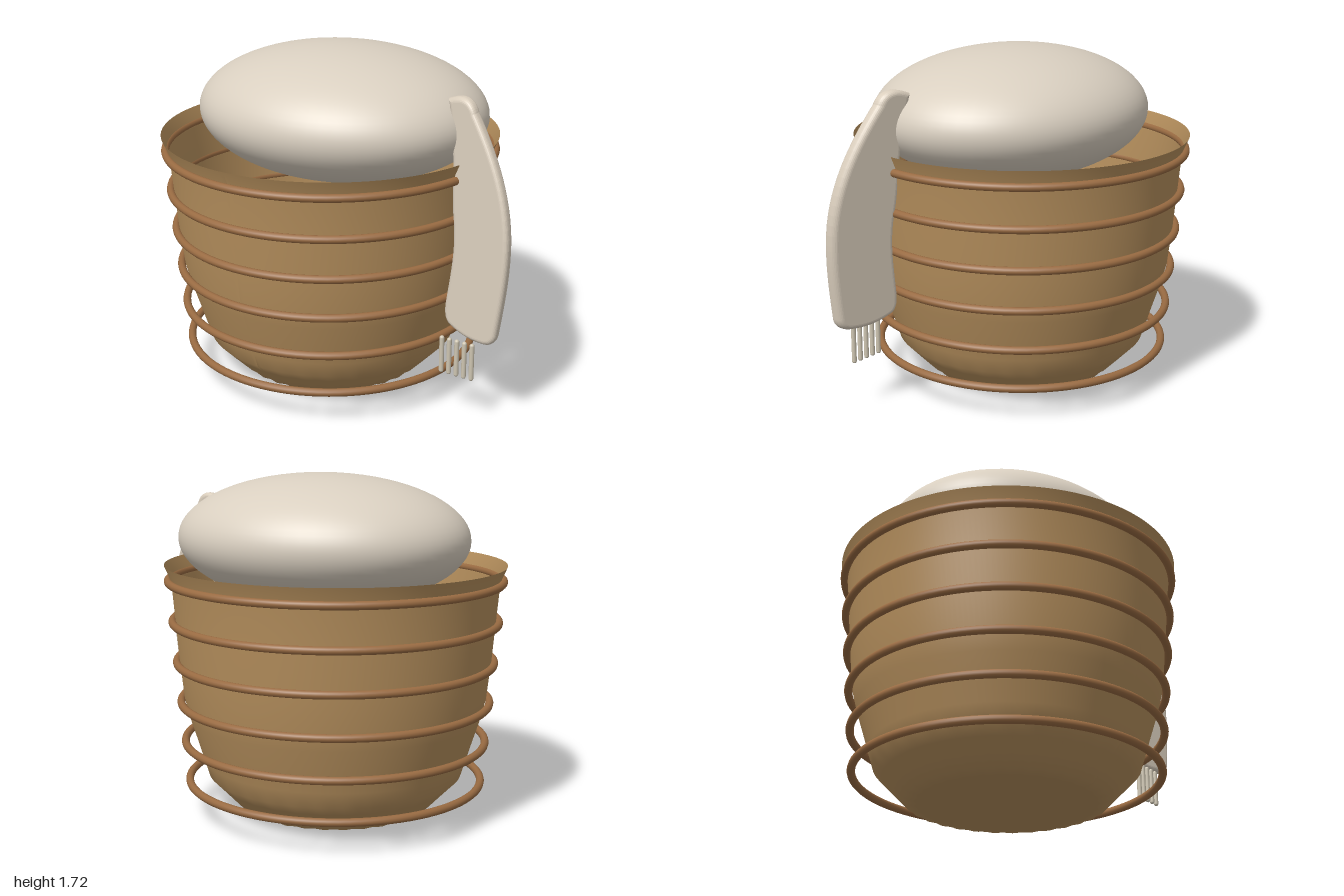
import * as THREE from 'three';

const CX = -0.147; // basket axis

function add(group, name, geometry, color, side = THREE.FrontSide) {
  const mesh = new THREE.Mesh(geometry, new THREE.MeshStandardMaterial({ color, side }));
  mesh.name = name;
  group.add(mesh);
  return mesh;
}

// Thin basket wall with a shallow fluted base
function basketGeometry() {
  const profile = [
    [0, 0], [0.2, 0.013], [0.43, 0.028], [0.485, 0.04], [0.54, 0.095], [0.595, 0.15],
    [0.645, 0.2], [0.67, 0.28], [0.697, 0.37], [0.738, 0.5], [0.763, 0.6], [0.785, 0.8],
    [0.802, 1.0], [0.817, 1.17], [0.827, 1.21], [0.853, 1.27],
  ].map(([r, y]) => new THREE.Vector2(r, y));
  const geometry = new THREE.LatheGeometry(profile, 192);
  const p = geometry.attributes.position;
  for (let i = 0; i < p.count; i++) {
    const x = p.getX(i), y = p.getY(i), z = p.getZ(i);
    if (y < 0.025 || y > 0.19) continue;
    const fade = y < 0.06 ? 1 : (0.2 - y) / 0.14;
    const k = 1 + 0.012 * fade * Math.cos(32 * Math.atan2(z, x));
    p.setX(i, x * k);
    p.setZ(i, z * k);
  }
  geometry.computeVertexNormals();
  return geometry;
}

// Flat curved paddle, rounded at its edges and sheared to lean forward
function paddleGeometry() {
  const shape = new THREE.Shape();
  shape.moveTo(0.62, 1.545);
  shape.quadraticCurveTo(0.71, 1.58, 0.735, 1.51);
  shape.bezierCurveTo(0.85, 1.35, 0.975, 1.15, 0.97, 0.88);
  shape.bezierCurveTo(0.97, 0.75, 0.95, 0.62, 0.935, 0.51);
  shape.quadraticCurveTo(0.93, 0.465, 0.88, 0.463);
  shape.quadraticCurveTo(0.78, 0.45, 0.69, 0.49);
  shape.quadraticCurveTo(0.66, 0.5, 0.667, 0.57);
  shape.bezierCurveTo(0.69, 0.75, 0.71, 0.85, 0.685, 1.0);
  shape.bezierCurveTo(0.66, 1.15, 0.68, 1.3, 0.62, 1.545);
  const geometry = new THREE.ExtrudeGeometry(shape, {
    depth: 0.012, curveSegments: 16, bevelEnabled: true,
    bevelThickness: 0.028, bevelSize: 0.025, bevelSegments: 6,
  });
  const p = geometry.attributes.position;
  for (let i = 0; i < p.count; i++) {
    p.setZ(i, p.getZ(i) - 0.006 + 0.034 + 0.24 * p.getX(i) - 0.058 * p.getY(i));
  }
  geometry.computeVertexNormals();
  return geometry;
}

export function createModel() {
  const model = new THREE.Group();
  model.name = 'basketWithDome';

  const basket = add(model, 'basket', basketGeometry(), 0xb48e5c, THREE.DoubleSide);
  basket.position.x = CX;

  // Six evenly spaced hoops, widening upward
  const hoops = new THREE.Group();
  hoops.name = 'hoops';
  model.add(hoops);
  for (let i = 0; i < 6; i++) {
    const hoop = add(hoops, 'hoop', new THREE.TorusGeometry(0.744 + i * 0.0182, 0.02, 12, 96), 0x996b42);
    hoop.rotation.x = Math.PI / 2;
    hoop.position.set(CX, 0.167 + i * 0.2045, 0);
  }

  // Domed lid resting in the basket mouth
  const dome = add(model, 'dome', new THREE.SphereGeometry(1, 64, 40), 0xd9cfc0);
  dome.scale.set(0.755, 0.325, 0.645);
  dome.position.set(-0.073, 1.39, 0);

  add(model, 'paddle', paddleGeometry(), 0xd9cdbc);

  // Row of small teeth under the paddle
  const teeth = new THREE.Group();
  teeth.name = 'teeth';
  model.add(teeth);
  for (let i = 0; i < 5; i++) {
    const tooth = add(teeth, 'tooth', new THREE.CapsuleGeometry(0.012, 0.171, 5, 12), 0xcfc6b2);
    tooth.position.set(0.67 + i * 0.041, 0.333, 0.247);
  }

  return model;
}
